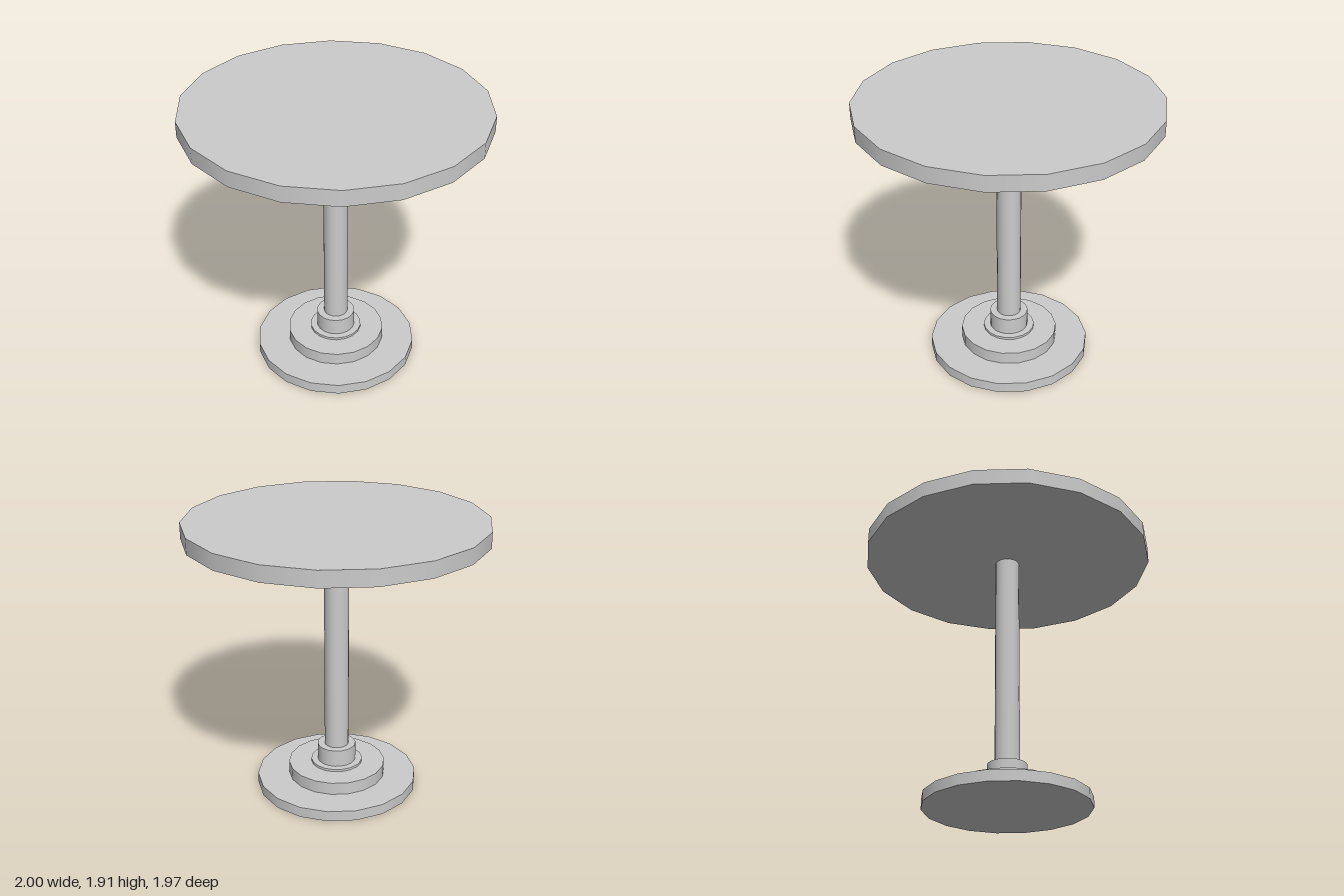
import * as THREE from 'three';

const SIDES = 18;

export function createModel() {
  const group = new THREE.Group();
  const material = new THREE.MeshStandardMaterial({ color: 0xcccccc });

  // Upright disc from y0 to y1, with a corner on the x axis
  function disc(name, radius, y0, y1) {
    const geometry = new THREE.CylinderGeometry(radius, radius, y1 - y0, SIDES, 1, false, Math.PI / 2);
    const mesh = new THREE.Mesh(geometry, material);
    mesh.name = name;
    mesh.position.y = (y0 + y1) / 2;
    group.add(mesh);
  }

  // Stepped foot
  disc('basePlate', 0.555, 0, 0.073);
  disc('baseStep', 0.335, 0.073, 0.16);
  disc('collarRing', 0.178, 0.16, 0.177);
  disc('collar', 0.132, 0.177, 0.297);

  // Column and round top
  disc('post', 0.083, 0.297, 1.805);
  disc('tableTop', 1, 1.805, 1.912);

  return group;
}
